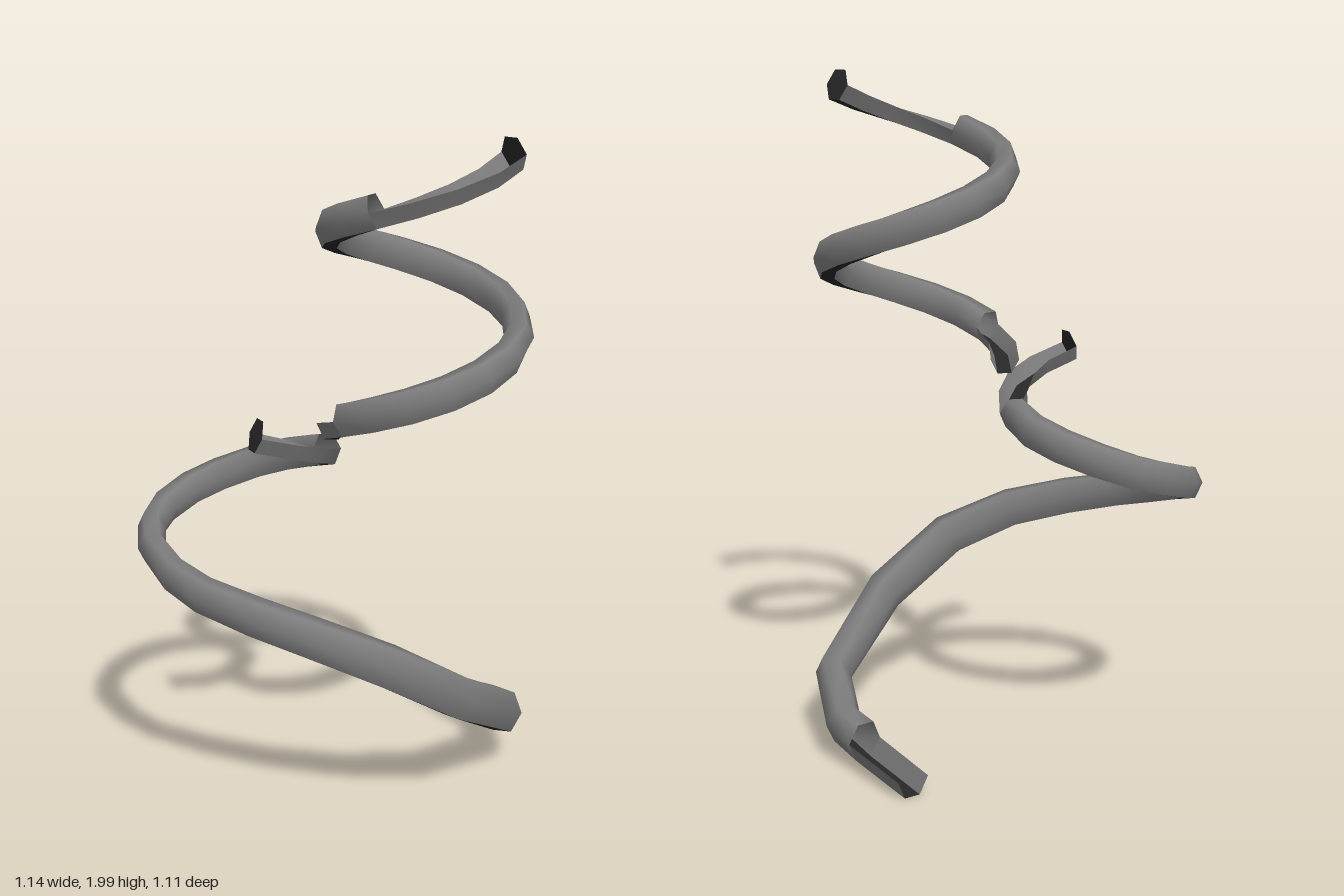
import * as THREE from 'three';

const wallMaterial = new THREE.MeshStandardMaterial({ color: 0x7c7c7c, side: THREE.DoubleSide });
const darkMaterial = new THREE.MeshStandardMaterial({ color: 0x272727, side: THREE.DoubleSide });
const UP = new THREE.Vector3(0, 1, 0);
const TALL = 1.25; // section height relative to a regular hexagon

// Skin a list of equally long cross-sections
function loft(rings) {
  const n = rings[0].length, positions = [], index = [];
  rings.forEach((ring) => ring.forEach((p) => positions.push(p.x, p.y, p.z)));
  for (let i = 0; i < rings.length - 1; i++) {
    for (let j = 0; j < n - 1; j++) {
      const a = i * n + j, b = a + n;
      index.push(a, b, a + 1, b, b + 1, a + 1);
    }
  }
  const g = new THREE.BufferGeometry();
  g.setAttribute('position', new THREE.Float32BufferAttribute(positions, 3));
  g.setIndex(index);
  g.computeVertexNormals();
  return g;
}

// Hexagonal sections: corners 0-1 are the floor, 1-6 run over the walls and roof
function hexRings(path) {
  return path.map(({ p, r }, i) => {
    const before = path[Math.max(i - 1, 0)].p;
    const after = path[Math.min(i + 1, path.length - 1)].p;
    const t = after.clone().sub(before).normalize();
    const side = t.clone().cross(UP).normalize();
    const up = side.clone().cross(t);
    return Array.from({ length: 7 }, (_, k) => {
      const a = ((k + 4) * Math.PI) / 3;
      return p.clone()
        .addScaledVector(side, r * Math.cos(a))
        .addScaledVector(up, r * TALL * Math.sin(a));
    });
  });
}

// Chute: dark floor all the way, smooth tube between two stations,
// open troughs before and after it, closed at its top end
function makeChute(name, path, tubeStart, tubeEnd) {
  const group = new THREE.Group();
  group.name = name;
  const rings = hexRings(path);
  const last = rings.length - 1;
  const add = (part, geometry, material) => {
    const mesh = new THREE.Mesh(geometry, material);
    mesh.name = part;
    group.add(mesh);
  };
  // Strip of the section between two corners, along a stretch of the path
  const strip = (from, to, c0, c1) =>
    loft(rings.slice(from, to + 1).map((ring) => ring.slice(c0, c1 + 1)));

  add('floor', strip(0, last, 0, 1), darkMaterial);
  add('tube', strip(tubeStart, tubeEnd, 1, 6), wallMaterial);
  for (const [part, from, to] of [['entry', 0, tubeStart], ['exit', tubeEnd, last]]) {
    add(part + 'WallA', strip(from, to, 1, 2), wallMaterial);
    add(part + 'WallB', strip(from, to, 5, 6), wallMaterial);
  }
  add('endCap', loft([rings[0].map(() => path[0].p.clone()), rings[0]]), darkMaterial);
  return group;
}

export function createModel() {
  const model = new THREE.Group();
  model.name = 'spiralSlide';

  // Upper chute: a regular helix of about one and a half turns
  const upper = [];
  const steps = 23;
  for (let i = 0; i <= steps; i++) {
    const a = THREE.MathUtils.degToRad(75 + (520 * i) / steps);
    const p = new THREE.Vector3(0.032 + 0.27 * Math.cos(a), 1.954 - (0.814 * i) / steps, 0.24 + 0.27 * Math.sin(a));
    upper.push({ p, r: 0.043 });
  }
  model.add(makeChute('upperChute', upper, 4, steps - 2));

  // Lower chute: a tight loop opening into a wide, thicker sweep (x, y, z, radius)
  const lower = [
    [-0.395, 1.155, -0.005, 0.043], [-0.29, 1.12, 0.028, 0.043], [-0.2, 1.088, 0.022, 0.043],
    [-0.105, 1.052, -0.03, 0.043], [-0.02, 1.012, -0.11, 0.043], [0.012, 0.978, -0.215, 0.043],
    [0.003, 0.948, -0.315, 0.043], [-0.045, 0.913, -0.41, 0.043], [-0.13, 0.873, -0.485, 0.043],
    [-0.225, 0.843, -0.513, 0.043], [-0.335, 0.81, -0.503, 0.043], [-0.43, 0.782, -0.45, 0.043],
    [-0.495, 0.752, -0.37, 0.043], [-0.53, 0.712, -0.23, 0.044], [-0.525, 0.682, -0.1, 0.046],
    [-0.465, 0.643, 0.06, 0.049], [-0.37, 0.593, 0.22, 0.051], [-0.22, 0.508, 0.355, 0.054],
    [0.01, 0.358, 0.413, 0.056], [0.32, 0.183, 0.325, 0.056], [0.45, 0.105, 0.14, 0.054],
    [0.467, 0.085, 0.035, 0.053], [0.522, 0.057, -0.22, 0.05],
  ].map(([x, y, z, r]) => ({ p: new THREE.Vector3(x, y, z), r }));
  model.add(makeChute('lowerChute', lower, 4, lower.length - 2));

  return model;
}
